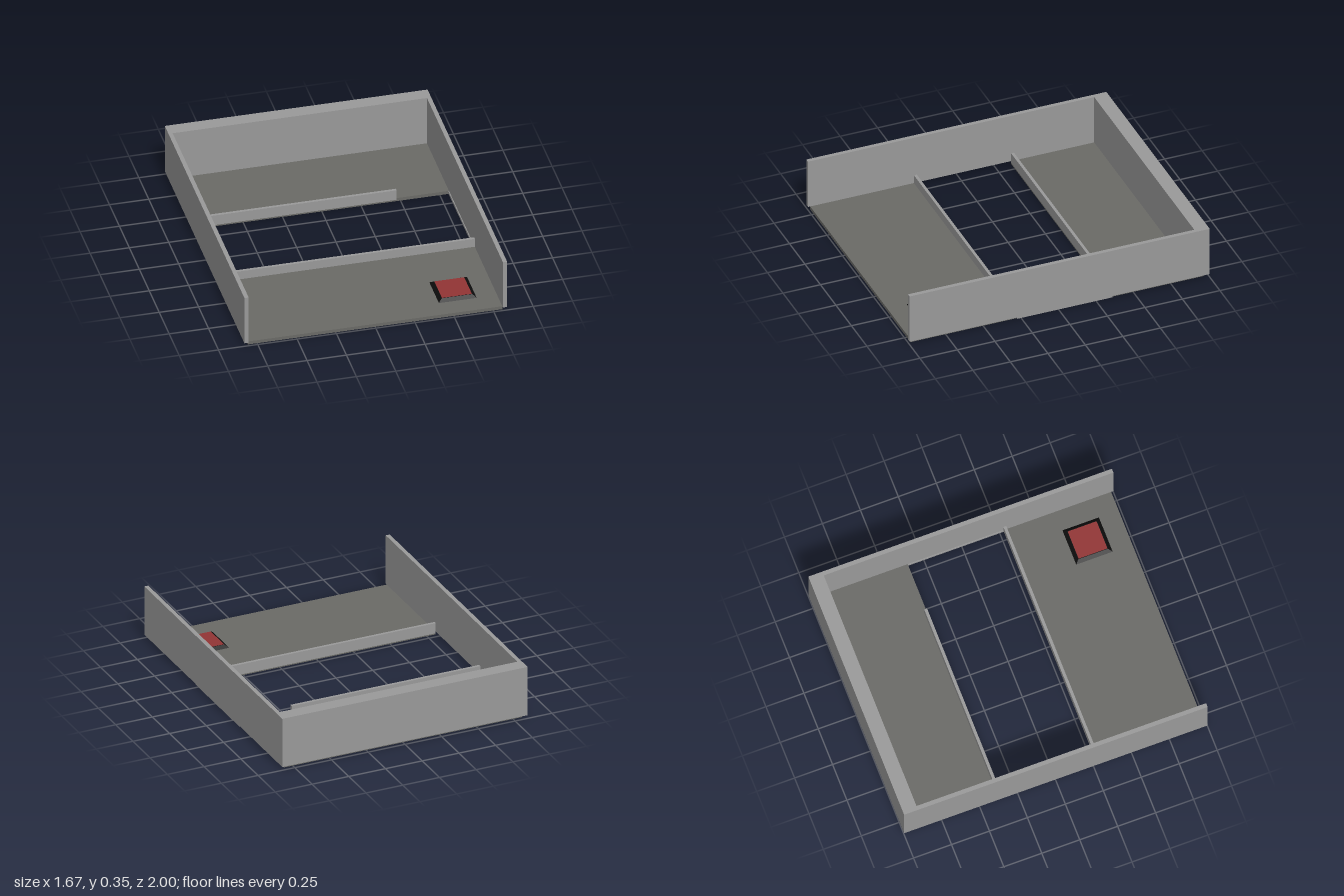
import * as THREE from 'three';

export function createModel() {
  const model = new THREE.Group();
  const material = (name, color) => {
    const m = new THREE.MeshStandardMaterial({ color });
    m.name = name;
    return m;
  };
  const wallGrey = material('wall grey', 0x999999);
  const floorGrey = material('floor grey', 0x6a6a66);
  const black = material('pad black', 0x0d0d0d);
  const red = material('pad red', 0x923434);

  // Box given by its minimum and maximum on each axis
  const box = (name, mat, [x0, x1], [y0, y1], [z0, z1]) => {
    const mesh = new THREE.Mesh(new THREE.BoxGeometry(x1 - x0, y1 - y0, z1 - z0), mat);
    mesh.position.set((x0 + x1) / 2, (y0 + y1) / 2, (z0 + z1) / 2);
    mesh.name = name;
    model.add(mesh);
  };

  // Side walls and thick back wall
  const wallY = [0.022, 0.355];
  box('leftWall', wallGrey, [0.808, 0.835], wallY, [-1, 1]);
  box('rightWall', wallGrey, [-0.835, -0.808], wallY, [-1, 1]);
  box('backWall', wallGrey, [-0.808, 0.808], wallY, [-1, -0.908]);

  // Two floor panels with an open gap between them
  const floorY = [0, 0.022];
  box('frontFloor', floorGrey, [-0.81, 0.81], floorY, [0.28, 0.985]);
  box('backFloor', floorGrey, [-0.81, 0.81], floorY, [-0.97, -0.355]);

  // Low curbs along the gap; the rear one stops short on the left
  box('frontCurb', wallGrey, [-0.808, 0.808], [0.01, 0.08], [0.275, 0.294]);
  box('backCurb', wallGrey, [-0.808, 0.475], [0.01, 0.08], [-0.373, -0.354]);

  // Strip joining the two floors under the left wall
  box('sideStrip', wallGrey, [0.803, 0.825], [0.005, 0.022], [-0.355, 0.28]);

  // Square pad with bevelled black rim and red inset
  const rimShape = new THREE.CylinderGeometry(0.098 * Math.SQRT2, 0.12 * Math.SQRT2, 0.018, 4, 1);
  rimShape.rotateY(Math.PI / 4);
  const rim = new THREE.Mesh(rimShape.toNonIndexed(), black);
  rim.geometry.computeVertexNormals();
  rim.position.set(0.558, 0.031, 0.735);
  rim.name = 'padRim';
  model.add(rim);
  box('padInset', red, [0.463, 0.653], [0.037, 0.042], [0.64, 0.83]);

  return model;
}
